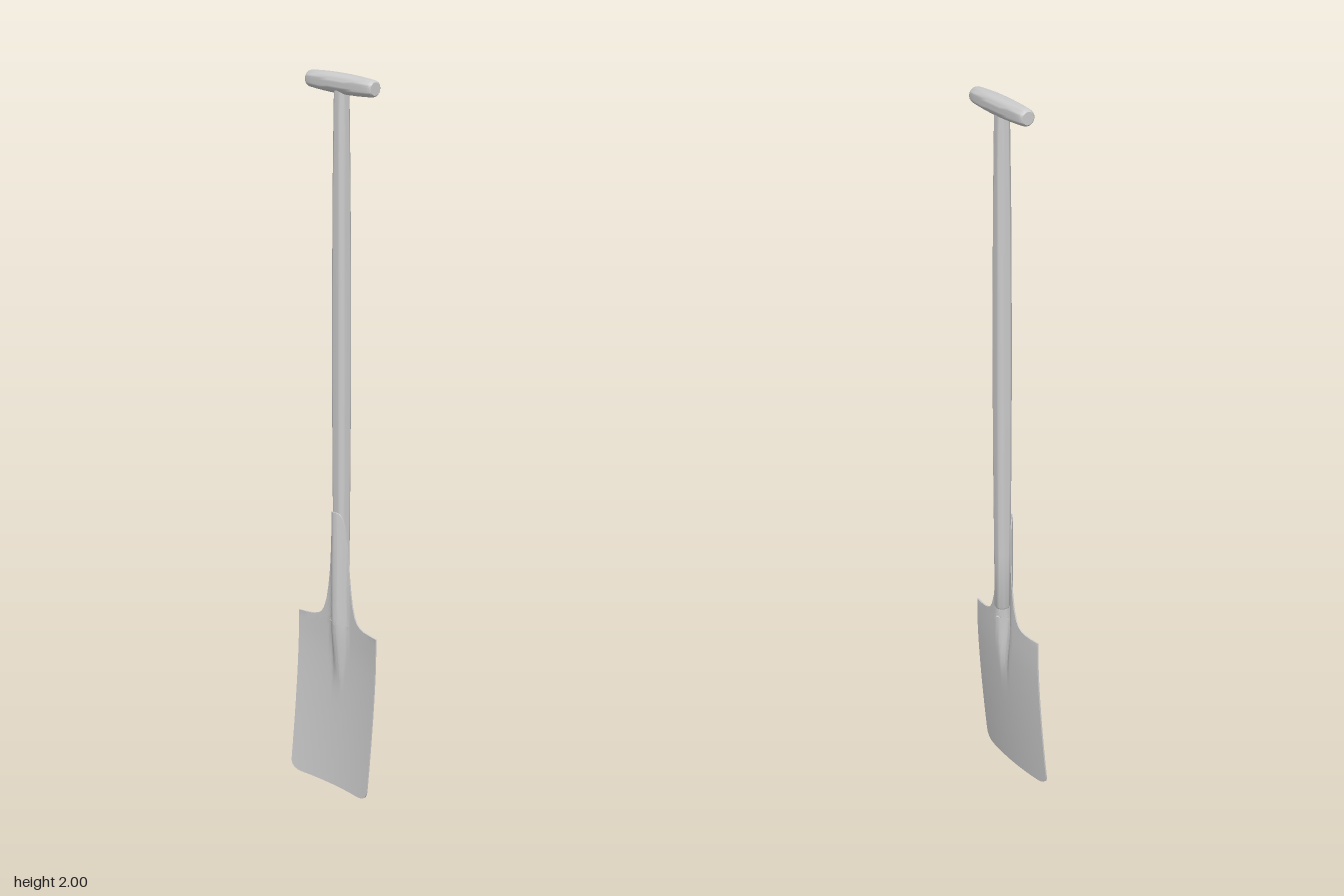
import * as THREE from 'three';
import { toCreasedNormals } from 'three/addons/utils/BufferGeometryUtils.js';

const material = new THREE.MeshStandardMaterial({ color: 0xcccccc, side: THREE.DoubleSide });

function addMesh(group, name, geometry) {
  const mesh = new THREE.Mesh(toCreasedNormals(geometry, 0.6), material);
  mesh.name = name;
  group.add(mesh);
  return mesh;
}

const turned = (points) =>
  new THREE.LatheGeometry(points.map(([r, y]) => new THREE.Vector2(r, y)), 32);

// Half-width of the blade and socket at each height
const outline = [
  [0, 0.115], [0.002, 0.128], [0.006, 0.138], [0.013, 0.146], [0.022, 0.15], [0.035, 0.151],
  [0.08, 0.151], [0.12, 0.151], [0.16, 0.151], [0.2, 0.151], [0.24, 0.151], [0.28, 0.151],
  [0.31, 0.151], [0.34, 0.151], [0.37, 0.151], [0.4, 0.151], [0.43, 0.151], [0.46, 0.151],
  [0.478, 0.151], [0.479, 0.12], [0.481, 0.1], [0.486, 0.083], [0.495, 0.07], [0.51, 0.06],
  [0.54, 0.05], [0.58, 0.043], [0.63, 0.037], [0.68, 0.033], [0.73, 0.03], [0.77, 0.028], [0.81, 0.027],
];

// Depth of the sheet: dished plate bending forward, with a ridge running up into the socket
function sheetDepth(x, y) {
  const bend = 0.035 * Math.pow(Math.max(0, 0.42 - y) / 0.42, 1.4);
  const dish = 0.012 * (x / 0.15) ** 2;
  const rise = THREE.MathUtils.smoothstep(y, 0.25, 0.5);
  const spread = 0.012 + 0.026 * THREE.MathUtils.smoothstep(y, 0.25, 0.46);
  const t = Math.min(1, Math.abs(x) / spread);
  const ridge = 0.025 * rise * (1 + Math.cos(Math.PI * t)) / 2;
  return -0.007 + bend + dish + ridge;
}

// Closed thin shell: every row runs across the front and returns along the back
function bladeGeometry() {
  const columns = 48, thickness = 0.003, ring = 2 * (columns + 1);
  const positions = [], index = [];
  for (const [height, width] of outline) {
    for (let i = 0; i < ring; i++) {
      const front = i <= columns;
      const u = 2 * (front ? i : ring - 1 - i) / columns - 1;
      const x = u * width;
      // the socket rim dips toward its sides
      const y = height - 0.055 * u ** 4 * THREE.MathUtils.smoothstep(height, 0.7, 0.81);
      positions.push(x, y, sheetDepth(x, y) + (front ? thickness : -thickness) / 1.5);
    }
  }
  for (let r = 0; r < outline.length - 1; r++) {
    for (let i = 0; i < ring; i++) {
      const a = r * ring + i, b = r * ring + (i + 1) % ring;
      index.push(a, b, b + ring, a, b + ring, a + ring);
    }
  }
  // bottom edge and socket rim
  const top = (outline.length - 1) * ring;
  for (let i = 0; i < columns; i++) {
    const j = ring - 1 - i;
    index.push(i, j, j - 1, i, j - 1, i + 1);
    index.push(top + i, top + i + 1, top + j - 1, top + i, top + j - 1, top + j);
  }
  const geometry = new THREE.BufferGeometry();
  geometry.setAttribute('position', new THREE.Float32BufferAttribute(positions, 3));
  geometry.setIndex(index);
  geometry.computeVertexNormals();
  return geometry;
}

export function createModel() {
  const model = new THREE.Group();
  model.name = 'spade';

  addMesh(model, 'bladeAndSocket', bladeGeometry());

  // Slightly swelling wooden shaft, cut flat at the lower end
  const shaft = addMesh(model, 'shaft', turned([
    [0, 0.53], [0.019, 0.53], [0.0215, 0.535], [0.0225, 0.7], [0.0245, 0.95],
    [0.0255, 1.2], [0.025, 1.45], [0.0235, 1.7], [0.021, 1.9], [0.0195, 1.97],
  ]));
  shaft.position.z = -0.012;

  // Barrel-shaped cross grip
  const half = [[0.027, 0], [0.0268, 0.03], [0.0258, 0.06], [0.024, 0.09], [0.0222, 0.112], [0.0205, 0.117], [0.017, 0.12], [0, 0.12]];
  const mirrored = half.slice(1).reverse().map(([r, y]) => [r, -y]);
  const grip = addMesh(model, 'grip', turned([...mirrored, ...half]));
  grip.rotation.z = Math.PI / 2;
  grip.position.set(0, 1.973, -0.014);

  return model;
}
